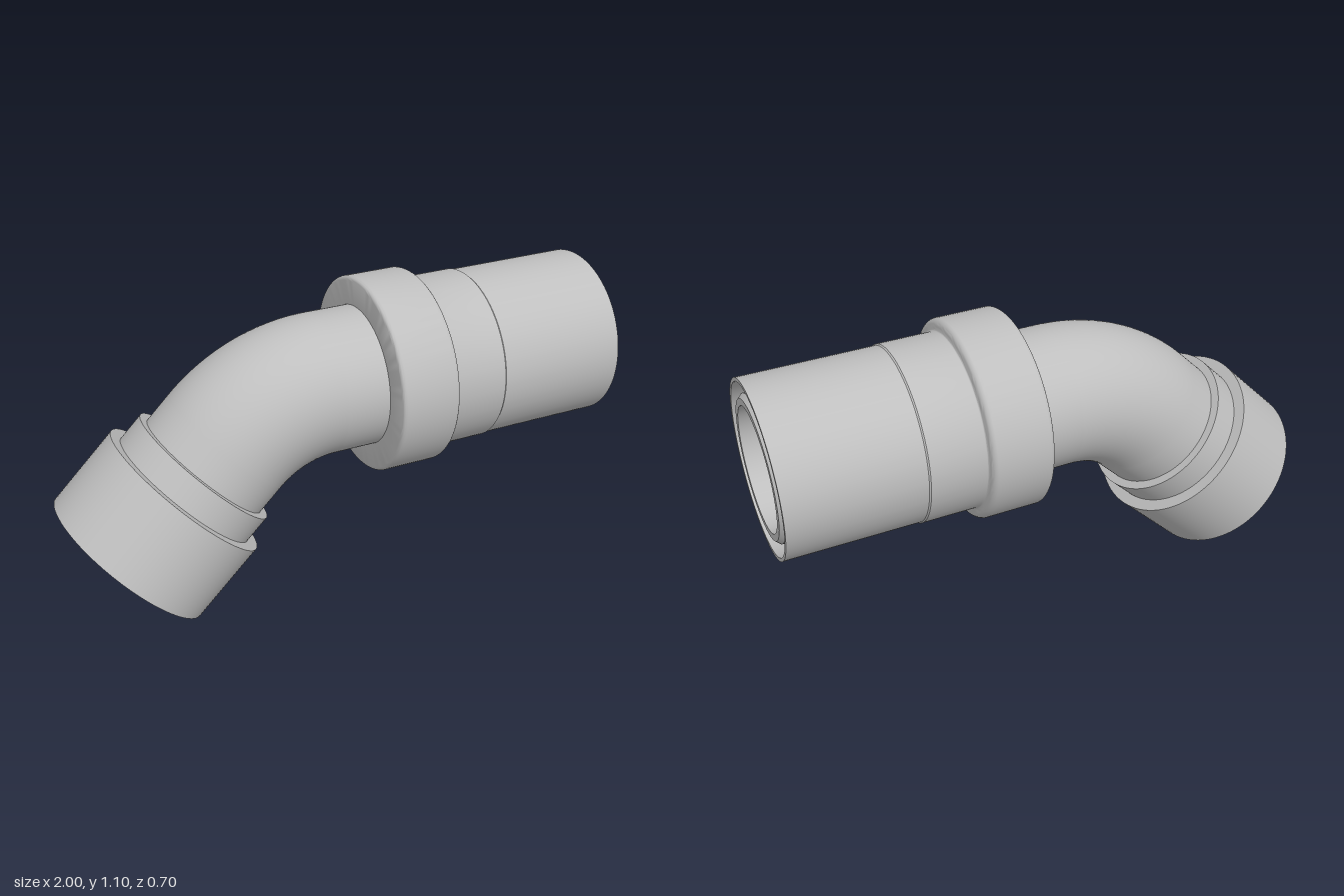
import * as THREE from 'three';
import { toCreasedNormals } from 'three/addons/utils/BufferGeometryUtils.js';

const AXIS_Y = 0.747;   // height of the straight run
const BEND_X = -0.046;  // where the bend starts
const BEND_R = 0.5;     // centreline radius of the bend
const PIPE_R = 0.25;
const BORE_R = 0.212;

// Quarter-round corner points in [radius, distance along axis]
function corner(cr, ca, r, from, to, steps = 5) {
  return Array.from({ length: steps + 1 }, (_, i) => {
    const a = from + (to - from) * i / steps;
    return [cr + r * Math.cos(a), ca + r * Math.sin(a)];
  });
}

// Turned part with sharp edges kept
function turned(name, profile, material) {
  const points = profile.map(([r, a]) => new THREE.Vector2(r, a));
  const mesh = new THREE.Mesh(toCreasedNormals(new THREE.LatheGeometry(points, 96), 0.5), material);
  mesh.name = name;
  return mesh;
}

export function createModel() {
  const group = new THREE.Group();
  group.name = 'pipeElbow';
  const metal = new THREE.MeshStandardMaterial({ color: 0xbfbfbf, side: THREE.DoubleSide });
  metal.name = 'grey metal';
  const Q = Math.PI / 2;

  // Straight pipe running through the coupling, chamfered at its mouth
  const pipe = turned('straightPipe', [
    [PIPE_R, BEND_X], [PIPE_R, 0.985], [0.236, 1], [BORE_R, 1], [BORE_R, BEND_X],
  ], metal);

  // Rounded collar and the sleeve around the pipe
  const collar = turned('collarAndSleeve', [
    [PIPE_R, 0.107],
    ...corner(0.335, 0.122, 0.015, -Q, 0),
    ...corner(0.325, 0.302, 0.025, 0, Q),
    ...corner(0.316, 0.335, 0.008, 3 * Q, 2 * Q),
    [0.308, 0.525], [0.304, 0.53], [0.304, 1],
    [0.291, 1], [0.275, 0.55], [PIPE_R, 0.55],
  ], metal);
  for (const part of [pipe, collar]) {
    part.rotation.z = -Q;
    part.position.y = AXIS_Y;
    group.add(part);
  }

  // 45 degree bend, outer skin and bore
  for (const [name, radius] of [['bend', PIPE_R], ['bendBore', BORE_R]]) {
    const bend = new THREE.Mesh(new THREE.TorusGeometry(BEND_R, radius, 96, 32, Math.PI / 4), metal);
    bend.name = name;
    bend.rotation.z = Q;
    bend.position.set(BEND_X, AXIS_Y - BEND_R, 0);
    group.add(bend);
  }

  // Stepped socket at the lower end
  const socket = turned('steppedSocket', [
    [PIPE_R, 0], [PIPE_R, 0.113], [0.28, 0.113], [0.28, 0.219], [0.322, 0.219], [0.322, 0.525],
    [0.312, 0.525], [0.29, 0.24], [BORE_R, 0.24], [BORE_R, 0],
  ], metal);
  socket.rotation.z = 3 * Math.PI / 4;
  const s = BEND_R * Math.SQRT1_2;
  socket.position.set(BEND_X - s, AXIS_Y - BEND_R + s, 0);
  group.add(socket);

  return group;
}
